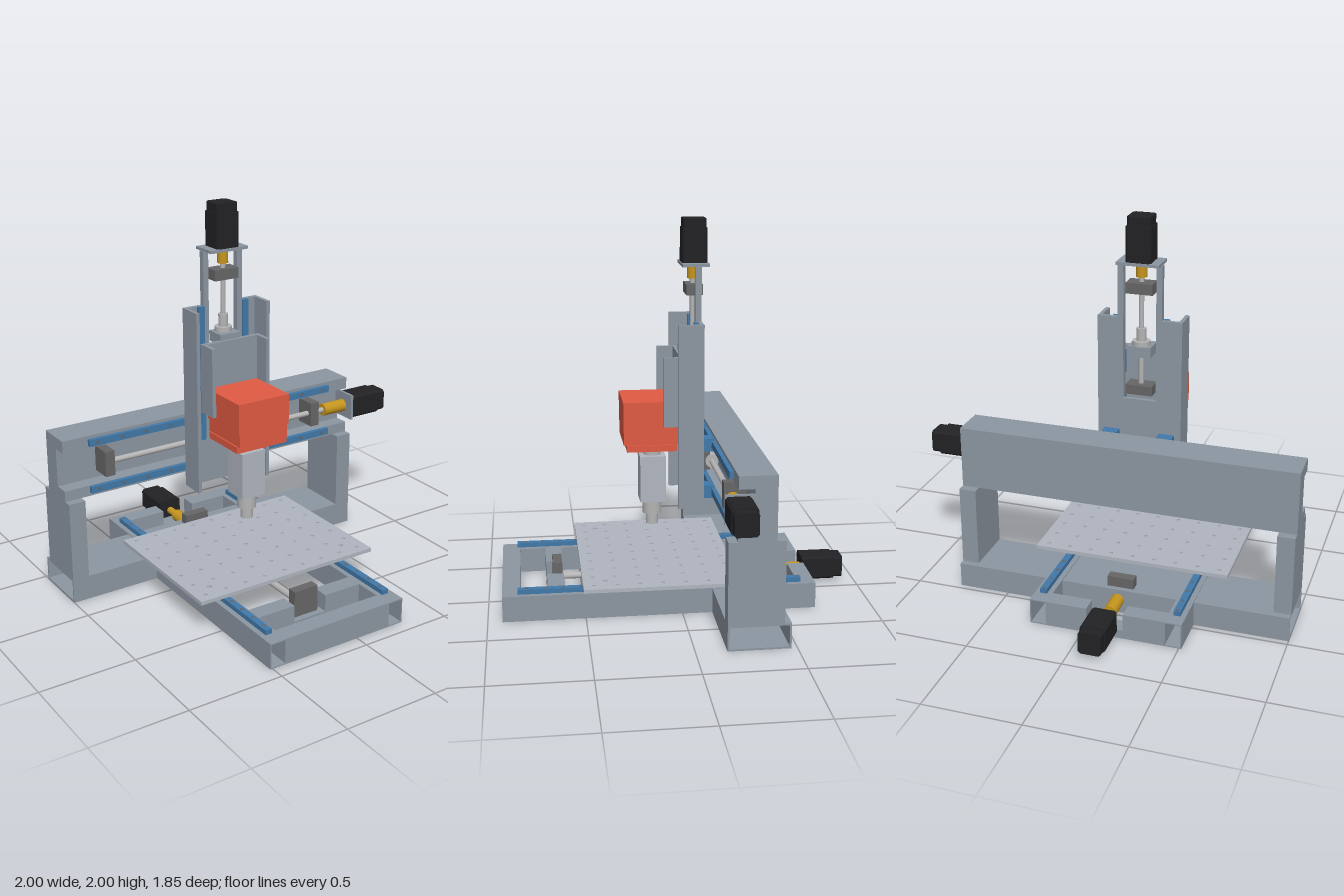
import * as THREE from 'three';

const mat = (color) => new THREE.MeshStandardMaterial({ color });

export function createModel() {
  const root = new THREE.Group();
  root.name = 'millingMachine';
  // The machine is symmetric about its own middle plane; the side motor shifts that plane off centre.
  const g = new THREE.Group();
  g.name = 'machine';
  g.position.x = -0.116;
  root.add(g);

  const frame = mat(0x8c96a2), light = mat(0xb0b5c0), blue = mat(0x4178a8), black = mat(0x222226);
  const gold = mat(0xc4951f), red = mat(0xdf5a42), dark = mat(0x666667), steel = mat(0xb4b4b4);

  function add(name, geo, m) {
    const mesh = new THREE.Mesh(geo, m);
    mesh.name = name;
    g.add(mesh);
    return mesh;
  }
  // Box given by its limits
  function box(name, m, x0, x1, y0, y1, z0, z1) {
    const b = add(name, new THREE.BoxGeometry(x1 - x0, y1 - y0, z1 - z0), m);
    b.position.set((x0 + x1) / 2, (y0 + y1) / 2, (z0 + z1) / 2);
    return b;
  }
  // Box and its mirror image in x
  function pair(name, m, x0, x1, ...r) {
    box(name + 'Left', m, x0, x1, ...r);
    box(name + 'Right', m, -x1, -x0, ...r);
  }
  // Cylinder from a to b along one axis; p and q are the two other coordinates in x, y, z order
  function rod(name, m, axis, r, a, b, p, q) {
    const geo = new THREE.CylinderGeometry(r, r, b - a, 24);
    const c = (a + b) / 2;
    if (axis === 'x') geo.rotateZ(Math.PI / 2).translate(c, p, q);
    else if (axis === 'y') geo.translate(p, c, q);
    else geo.rotateX(Math.PI / 2).translate(p, q, c);
    return add(name, geo, m);
  }
  function rect(T, x0, x1, y0, y1) {
    const s = new T();
    s.moveTo(x0, y0).lineTo(x1, y0).lineTo(x1, y1).lineTo(x0, y1).closePath();
    return s;
  }
  // Open rectangular tube along z
  function tubeGeo(w, h, t, z0, z1) {
    const s = rect(THREE.Shape, -w / 2, w / 2, 0, h);
    s.holes.push(rect(THREE.Path, -w / 2 + t, w / 2 - t, t, h - t));
    return new THREE.ExtrudeGeometry(s, { depth: z1 - z0, bevelEnabled: false }).translate(0, 0, z0);
  }

  // Base: two hollow long tubes and cross members
  for (const s of [-1, 1]) {
    add('baseTube', tubeGeo(0.09, 0.135, 0.006, -0.70, 0.925), frame).position.x = s * 0.352;
  }
  box('frontCrossMember', frame, -0.307, 0.307, 0, 0.135, 0.83, 0.925);
  for (const [z0, z1] of [[0.60, 0.69], [-0.70, -0.61]]) {
    pair('crossMember', frame, 0.095, 0.307, 0, 0.135, z0, z1);
    box('crossMemberNotch', frame, -0.095, 0.095, 0, 0.045, z0, z1);
  }

  // Gantry: base beam in three pieces around the long tubes, with open outer ends
  box('gantryBaseMiddle', frame, -0.307, 0.307, 0, 0.13, -0.47, -0.155);
  for (const s of [-1, 1]) {
    const geo = tubeGeo(0.315, 0.13, 0.01, 0.397, 0.885);
    geo.rotateY(s * Math.PI / 2);
    add('gantryBaseEnd', geo, frame).position.z = -0.3125;
  }
  pair('gantryUpright', frame, 0.795, 0.885, 0.13, 0.553, -0.435, -0.155);
  // C-shaped cross beam
  const c = new THREE.Shape([[0.39, 0.553], [0.39, 0.88], [0.2, 0.88], [0.2, 0.815], [0.28, 0.815],
    [0.28, 0.61], [0.2, 0.61], [0.2, 0.553]].map((p) => new THREE.Vector2(...p)));
  add('gantryBeam', new THREE.ExtrudeGeometry(c, { depth: 1.77, bevelEnabled: false })
    .rotateY(Math.PI / 2).translate(-0.885, 0, 0), frame);

  // Sideways axis: rails, carriages, screw, coupling
  for (const [y, yc] of [[0.845, 0.842], [0.59, 0.588]]) {
    box('gantryRail', blue, -0.745, 0.745, y - 0.018, y + 0.018, -0.2, -0.178);
    for (let i = 0; i < 11; i++) rod('railHole', dark, 'z', 0.009, -0.18, -0.1775, -0.7 + i * 0.14, y);
    pair('gantryCarriage', blue, 0.105, 0.187, yc - 0.034, yc + 0.034, -0.19, -0.13);
  }
  pair('gantryScrewBearing', dark, 0.615, 0.668, 0.65, 0.785, -0.28, -0.165);
  rod('gantryScrew', steel, 'x', 0.015, -0.65, 0.75, 0.718, -0.2);
  rod('gantryNut', steel, 'x', 0.035, -0.06, 0.06, 0.718, -0.2);
  box('gantryNutBracket', dark, -0.05, 0.05, 0.67, 0.765, -0.19, -0.13);
  rod('gantryCoupling', gold, 'x', 0.035, 0.718, 0.862, 0.718, -0.2);

  // Lengthwise axis: rails, carriages, screw, coupling
  for (const s of [-1, 1]) {
    const x = s * 0.352;
    box('tableRail', blue, x - 0.018, x + 0.018, 0.135, 0.16, -0.625, 0.845);
    for (let i = 0; i < 16; i++) rod('railHole', dark, 'y', 0.009, 0.159, 0.1615, x, 0.80 - i * 0.094);
    for (const z of [0.35, -0.12]) {
      box('tableCarriage', blue, x - 0.038, x + 0.038, 0.15, 0.185, z - 0.07, z + 0.07);
    }
  }
  for (const z of [0.632, -0.418]) box('tableScrewBearing', dark, -0.07, 0.07, 0.045, 0.185, z - 0.025, z + 0.025);
  rod('tableScrew', steel, 'z', 0.018, -0.55, 0.64, 0, 0.085);
  rod('tableNut', steel, 'z', 0.04, 0.06, 0.17, 0, 0.085);
  box('tableNutBracket', dark, -0.06, 0.06, 0.09, 0.185, 0.08, 0.15);
  rod('tableCoupling', gold, 'z', 0.034, -0.62, -0.49, 0, 0.085);
  rod('tableCouplingShaft', gold, 'z', 0.02, -0.70, -0.62, 0, 0.085);

  // Perforated table
  const plate = rect(THREE.Shape, -0.523, 0.523, -0.515, 0.285);
  const hole = (x, z, r) => plate.holes.push(new THREE.Path().absarc(x, -z, r, 0, Math.PI * 2, true));
  for (let i = -4; i <= 4; i++) {
    for (let j = 0; j < 7; j++) hole(i * 0.1168, -0.24 + j * 0.1168, 0.01);
  }
  for (const s of [-1, 1]) hole(s * 0.408, 0.402, 0.013);
  add('table', new THREE.ExtrudeGeometry(plate, { depth: 0.02, bevelEnabled: false, curveSegments: 8 })
    .rotateX(-Math.PI / 2).translate(0, 0.185, 0), light);

  // Upright column: slotted back plate with side walls
  const back = new THREE.Shape([[-0.22, 0.51], [0.22, 0.51], [0.22, 1.48], [0.085, 1.48], [0.085, 1.05],
    [-0.085, 1.05], [-0.085, 1.48], [-0.22, 1.48]].map((p) => new THREE.Vector2(...p)));
  add('columnBack', new THREE.ExtrudeGeometry(back, { depth: 0.022, bevelEnabled: false })
    .translate(0, 0, -0.133), frame);
  pair('columnWall', frame, 0.2, 0.22, 0.51, 1.48, -0.111, 0);
  pair('columnRail', blue, 0.115, 0.148, 0.76, 1.48, -0.111, -0.09);
  for (const y of [1.02, 1.22]) pair('columnCarriage', blue, 0.098, 0.165, y - 0.06, y + 0.06, -0.1, -0.04);
  pair('motorPost', frame, 0.085, 0.115, 1.05, 1.76, -0.132, -0.1);
  box('motorPlate', frame, -0.11, 0.11, 1.76, 1.775, -0.175, -0.035);
  box('upperScrewBearing', dark, -0.07, 0.07, 1.61, 1.665, -0.145, -0.06);
  box('lowerScrewBearing', dark, -0.07, 0.07, 1.08, 1.13, -0.145, -0.06);
  rod('columnScrew', steel, 'y', 0.013, 1.09, 1.7, 0, -0.1);
  rod('columnNut', steel, 'y', 0.025, 1.28, 1.425, 0, -0.1);
  rod('columnNutFlange', steel, 'y', 0.045, 1.335, 1.36, 0, -0.1);
  box('columnNutBracket', frame, -0.06, 0.06, 1.28, 1.335, -0.14, -0.03);
  rod('columnCoupling', gold, 'y', 0.028, 1.69, 1.76, 0, -0.1);

  // Spindle slide: forward-facing channel
  box('slidePlate', frame, -0.17, 0.17, 0.94, 1.305, -0.04, -0.015);
  pair('slideWall', frame, 0.152, 0.173, 0.94, 1.305, -0.04, 0.07);

  // Spindle head, body and nose
  box('headUpper', red, -0.15, 0.15, 0.91, 1.07, -0.015, 0.278);
  box('headLower', red, -0.142, 0.142, 0.84, 0.91, -0.015, 0.276);
  box('headFoot', red, -0.15, 0.15, 0.805, 0.84, 0, 0.26);
  rod('spindleNeck', steel, 'y', 0.045, 0.75, 0.81, 0, 0.115);
  box('spindleBody', light, -0.07, 0.07, 0.505, 0.755, 0.048, 0.185);
  rod('spindleNose', steel, 'y', 0.05, 0.43, 0.51, 0, 0.117);
  rod('spindleCollet', steel, 'y', 0.033, 0.37, 0.43, 0, 0.117);

  // Stepper motors: chamfered body, smaller end cap, flange, pointing along +y before turning
  function motor(name) {
    const grp = new THREE.Group();
    grp.name = name;
    const block = (part, w, y0, y1) => {
      const h = w / 2, k = 0.012;
      const s = new THREE.Shape([[-h + k, -h], [h - k, -h], [h, -h + k], [h, h - k], [h - k, h],
        [-h + k, h], [-h, h - k], [-h, -h + k]].map((p) => new THREE.Vector2(...p)));
      const m = new THREE.Mesh(new THREE.ExtrudeGeometry(s, { depth: y1 - y0, bevelEnabled: false })
        .rotateX(-Math.PI / 2).translate(0, y0, 0), black);
      m.name = part;
      grp.add(m);
    };
    block('motorFlange', 0.13, 0, 0.02);
    block('motorBody', 0.13, 0.02, 0.18);
    block('motorCap', 0.118, 0.18, 0.228);
    g.add(grp);
    return grp;
  }
  motor('columnMotor').position.set(0, 1.772, -0.105);
  const side = motor('gantryMotor');
  side.rotation.z = -Math.PI / 2;
  side.position.set(0.888, 0.718, -0.2);
  const rear = motor('tableMotor');
  rear.rotation.x = -Math.PI / 2;
  rear.position.set(0, 0.087, -0.7);
  box('gantryMotorPlate', frame, 0.873, 0.888, 0.645, 0.79, -0.285, -0.135);

  return root;
}
